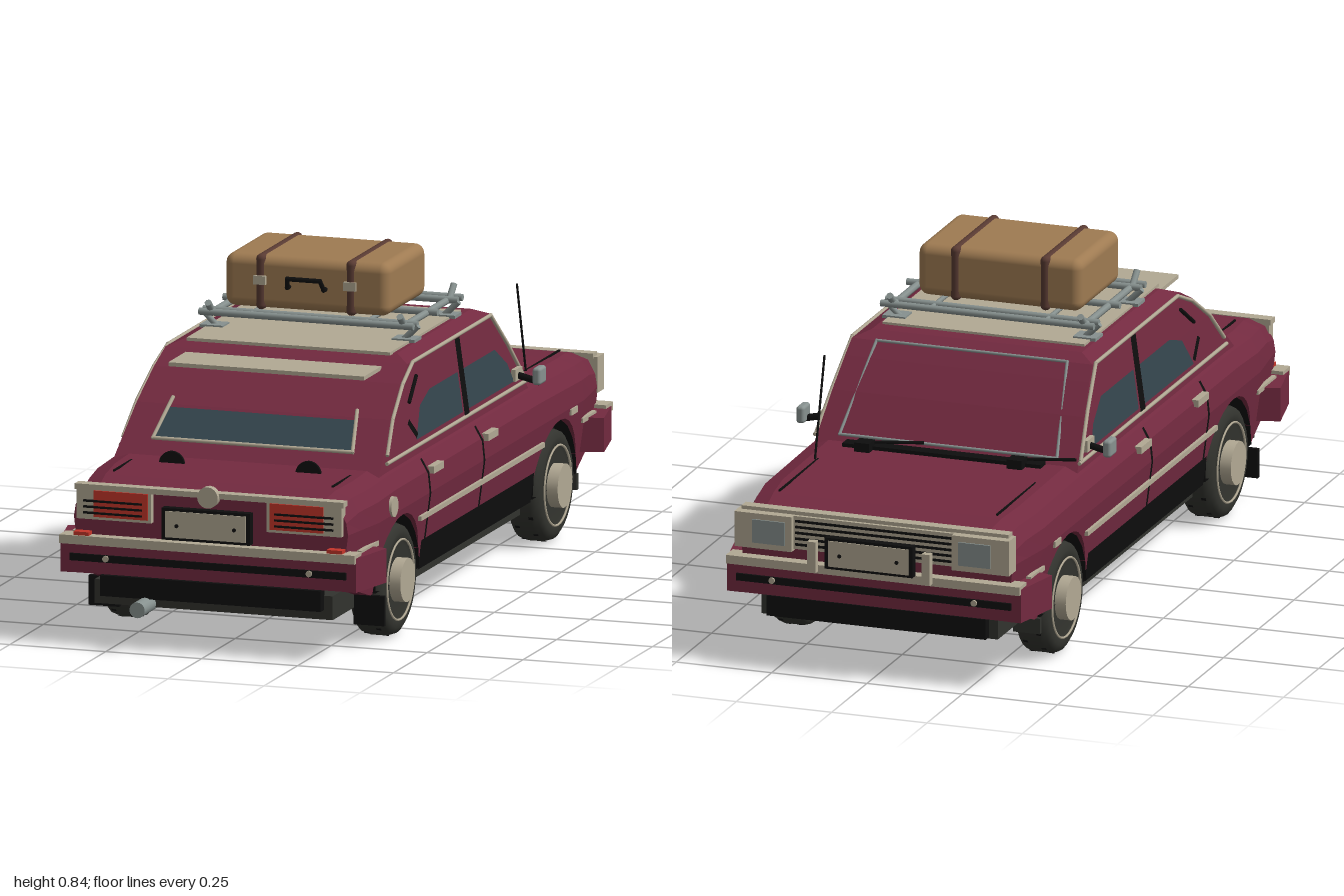
import * as THREE from 'three';
import { RoundedBoxGeometry } from 'three/addons/geometries/RoundedBoxGeometry.js';

const mat = (name, color, side = THREE.FrontSide) => {
  const m = new THREE.MeshStandardMaterial({ color, side });
  m.name = name;
  return m;
};
const V = (p) => new THREE.Vector3(...p);

// Linear lookup in a table of [key, value]
function lookup(t, k) {
  if (k <= t[0][0]) return t[0][1];
  for (let i = 1; i < t.length; i++) {
    const [a, b] = [t[i - 1], t[i]];
    if (k <= b[0]) return a[1] + (b[1] - a[1]) * (k - a[0]) / (b[0] - a[0]);
  }
  return t[t.length - 1][1];
}
const SIDE = [[0.13, 0.355], [0.32, 0.38], [0.37, 0.375], [0.405, 0.355], [0.42, 0.31]];
const taper = (z) => 1 - 0.06 * Math.max(0, (Math.abs(z) - 0.76) / 0.17);
const bodyX = (y, z) => lookup(SIDE, y) * taper(z);
const cabinX = (y) => 0.345 - 0.14 * (y - 0.42);

function flat(pos) {
  const g = new THREE.BufferGeometry();
  g.setAttribute('position', new THREE.Float32BufferAttribute(pos, 3));
  g.computeVertexNormals();
  return g;
}
// Closed loft through rings with equal point counts
function loft(rings) {
  const out = [], n = rings[0].length, tri = (...p) => p.forEach((q) => out.push(...q));
  for (let i = 0; i < rings.length - 1; i++) for (let j = 0; j < n; j++) {
    const k = (j + 1) % n, [r, s] = [rings[i], rings[i + 1]];
    tri(r[j], r[k], s[k]);
    tri(r[j], s[k], s[j]);
  }
  const a = rings[0], b = rings[rings.length - 1];
  for (let j = 1; j < n - 1; j++) { tri(a[0], a[j + 1], a[j]); tri(b[0], b[j], b[j + 1]); }
  return flat(out);
}
function panel(pts) {
  const out = [];
  for (let j = 1; j < pts.length - 1; j++) out.push(...pts[0], ...pts[j], ...pts[j + 1]);
  return flat(out);
}

export function createModel() {
  const car = new THREE.Group();
  car.name = 'car';
  const DS = THREE.DoubleSide;
  const paint = mat('maroonPaint', 0x732a40), cream = mat('creamTrim', 0xb2a994), black = mat('black', 0x0e0e0e, DS);
  const dark = mat('darkRubber', 0x32332e), glass = mat('glass', 0x34454d, DS), red = mat('redLens', 0xc4352a);
  const steel = mat('steel', 0x87918f), leather = mat('leather', 0x9f7b52), strapM = mat('strapBrown', 0x583a32);

  const add = (name, g, m, p = [0, 0, 0], parent = car) => {
    const o = new THREE.Mesh(g, m);
    o.name = name;
    o.position.set(...p);
    parent.add(o);
    return o;
  };
  const box = (name, m, sx, sy, sz, x, y, z, parent) => add(name, new THREE.BoxGeometry(sx, sy, sz), m, [x, y, z], parent);
  const disc = (name, m, r, h, p, axis, parent, n = 16) => {
    const g = new THREE.CylinderGeometry(r, r, h, n);
    if (axis === 'x') g.rotateZ(Math.PI / 2); else g.rotateX(Math.PI / 2);
    return add(name, g, m, p, parent);
  };
  const rods = (name, m, r, pts, parent = car) => {
    for (let i = 0; i < pts.length - 1; i++) {
      const a = V(pts[i]), d = V(pts[i + 1]).sub(a);
      const o = add(name, new THREE.CylinderGeometry(r, r, d.length() + r, 8), m, a.addScaledVector(d, 0.5).toArray(), parent);
      o.quaternion.setFromUnitVectors(new THREE.Vector3(0, 1, 0), d.normalize());
    }
  };

  // Lower body with wheel arches
  const arch = (zc) => Array.from({ length: 15 }, (_, i) => {
    const a = Math.PI * (1 - i / 14);
    return [zc + 0.165 * Math.cos(a), 0.135 + 0.17 * Math.sin(a)];
  });
  const prof = [[-0.93, 0.32], [-0.93, 0.19], [-0.77, 0.135], ...arch(-0.59), ...arch(0.58), [0.76, 0.135], [0.93, 0.19], [0.93, 0.32], [0.76, 0.32], [-0.76, 0.32]];
  const lower = new THREE.ExtrudeGeometry(new THREE.Shape(prof.map((p) => new THREE.Vector2(...p))), { depth: 2, bevelEnabled: false });
  lower.translate(0, 0, -1).rotateY(-Math.PI / 2);
  const lp = lower.attributes.position;
  for (let i = 0; i < lp.count; i++) lp.setX(i, Math.sign(lp.getX(i)) * bodyX(lp.getY(i), lp.getZ(i)));
  lower.computeVertexNormals();
  add('lowerBody', lower, paint);

  // Upper body with hood and trunk
  const sections = [[-0.93, -0.02], [-0.85, -0.005], [-0.76, 0], [-0.45, 0.005], [0.62, 0.005], [0.76, 0], [0.86, -0.005], [0.93, -0.02]];
  add('upperBody', loft(sections.map(([z, dy]) => {
    const half = SIDE.slice(1).map(([y, x], i) => [x * taper(z), y + (i > 0 ? dy : 0), z]);
    return [...half, ...half.map(([x, y]) => [-x, y, z]).reverse()];
  })), paint);
  // Cabin
  const levels = [[0.41, 0.346, 0.67, -0.445], [0.53, 0.33, 0.54, -0.352], [0.6, 0.32, 0.44, -0.29], [0.635, 0.315, 0.37, -0.255], [0.652, 0.275, 0.33, -0.22]];
  add('cabin', loft(levels.map(([y, x, r, f]) => [[x, y, r], [x, y, f], [-x, y, f], [-x, y, r]])), paint);
  box('roofPanel', cream, 0.53, 0.008, 0.53, 0, 0.654, 0.09);
  box('rearVisor', cream, 0.51, 0.01, 0.13, 0, 0.625, 0.455);

  // Rear window and its trim
  const rearZ = (y) => 0.67 - (y - 0.41) * 0.13 / 0.12 + 0.004;
  add('rearWindow', panel([[-0.258, 0.46, rearZ(0.46)], [0.258, 0.46, rearZ(0.46)], [0.243, 0.525, rearZ(0.525)], [-0.243, 0.525, rearZ(0.525)]]), glass);
  rods('rearWindowTrim', cream, 0.005, [[-0.24, 0.545, rearZ(0.545)], [-0.26, 0.46, rearZ(0.46)], [0.26, 0.46, rearZ(0.46)], [0.24, 0.545, rearZ(0.545)]]);
  rods('windshieldTrim', steel, 0.004, [[-0.285, 0.44, -0.424], [0.285, 0.44, -0.424], [0.25, 0.636, -0.256], [-0.25, 0.636, -0.256], [-0.285, 0.44, -0.424]]);
  // Cowl, wipers and washer humps
  box('cowl', black, 0.52, 0.012, 0.035, 0, 0.428, -0.455);
  for (const x of [-0.2, 0.2]) {
    box('wiperPivot', black, 0.04, 0.025, 0.04, x, 0.435, -0.478);
    rods('wiper', black, 0.004, [[x, 0.44, -0.46], [x - 0.14, 0.447, -0.44]]);
  }

  for (const s of [-1, 1]) {
    const onCabin = (pts, o = 0.004) => pts.map(([z, y]) => [s * (cabinX(y) + o), y, z]);
    const onBody = (z0, z1, ys) => ys.slice(1).map((y, i) => [[z0, ys[i]], [z1, ys[i]], [z1, y], [z0, y]].map(([z, h]) => [s * (bodyX(h, z) + 0.003), h, z]));
    // Side windows, pillar and trim
    add('rearSideWindow', panel(onCabin([[0.385, 0.45], [0.04, 0.45], [0.04, 0.55], [0.25, 0.55], [0.33, 0.525]])), glass);
    add('frontSideWindow', panel(onCabin([[-0.005, 0.45], [-0.34, 0.45], [-0.31, 0.5], [-0.235, 0.55], [-0.005, 0.55]])), glass);
    add('centrePillar', panel(onCabin([[0.035, 0.44], [0, 0.44], [0, 0.63], [0.035, 0.63]], 0.006)), black);
    rods('dripRail', cream, 0.005, onCabin([[0.6, 0.455], [0.53, 0.53], [0.43, 0.597], [0.34, 0.635], [-0.24, 0.635], [-0.335, 0.54], [-0.42, 0.44]]));
    rods('beltTrim', cream, 0.005, onCabin([[0.61, 0.435], [-0.43, 0.435]]));
    add('pillarVent', panel(onCabin([[0.44, 0.5], [0.39, 0.455], [0.375, 0.465], [0.425, 0.51]], 0.007)), black);
    rods('grabRail', black, 0.005, onCabin([[0.41, 0.55], [0.34, 0.6]], 0.008));
    // Door seams, handles, side trim and sills
    for (const z of [0.39, -0.012]) for (const q of onBody(z + 0.006, z - 0.006, [0.2, 0.32, 0.37, 0.405])) add('doorSeam', panel(q), black);
    for (const z of [0.34, -0.065]) box('doorHandle', cream, 0.02, 0.018, 0.075, s * 0.378, 0.375, z);
    box('sideTrim', cream, 0.012, 0.012, 0.92, s * 0.376, 0.268, -0.005);
    box('rearSideTrim', cream, 0.012, 0.012, 0.13, s * 0.371, 0.268, 0.82);
    box('frontSideTrim', cream, 0.012, 0.012, 0.1, s * 0.372, 0.268, -0.81);
    box('sideMarker', cream, 0.012, 0.016, 0.045, s * 0.378, 0.31, -0.68);
    add('sill', panel([[0.415, 0.13], [-0.425, 0.13], [-0.425, 0.205], [0.415, 0.205]].map(([z, y]) => [s * (bodyX(y, z) + 0.003), y, z])), black);
    // Mirror
    rods('mirrorArm', black, 0.009, [[s * 0.335, 0.465, -0.36], [s * 0.4, 0.45, -0.36]]);
    add('mirror', new RoundedBoxGeometry(0.022, 0.044, 0.05, 2, 0.008), steel, [s * 0.402, 0.465, -0.365]);
    box('mirrorBase', cream, 0.012, 0.03, 0.05, s * 0.345, 0.465, -0.36);
    // Trunk hinge covers and panel seams
    const hump = new THREE.CylinderGeometry(0.033, 0.033, 0.008, 16, 1, false, Math.PI / 2, Math.PI).rotateX(Math.PI / 2);
    add('trunkHinge', hump, black, [s * 0.178, 0.418, 0.712]).scale.y = hump.boundingBox?.max.y < 0 ? -1 : 1;
    box('hoodSeam', black, 0.005, 0.004, 0.4, s * 0.285, 0.421, -0.65);
    box('trunkSeam', black, 0.005, 0.004, 0.16, s * 0.285, 0.42, 0.76);

    // Wheels
    for (const z of [0.58, -0.59]) {
      const wheel = new THREE.Group();
      wheel.name = 'wheel';
      wheel.position.set(s * 0.325, 0.14, z);
      wheel.rotation.y = s > 0 ? 0 : Math.PI;
      car.add(wheel);
      const tyre = [[0.001, -0.045], [0.12, -0.045], [0.135, -0.036], [0.14, -0.02], [0.14, 0.02], [0.135, 0.036], [0.12, 0.045], [0.1, 0.045], [0.095, 0.036], [0.001, 0.036]];
      add('tyre', new THREE.LatheGeometry(tyre.map((p) => new THREE.Vector2(...p)), 28).rotateZ(-Math.PI / 2), dark, [0, 0, 0], wheel);
      add('rimRing', new THREE.TorusGeometry(0.1, 0.003, 6, 32).rotateY(Math.PI / 2), cream, [0.046, 0, 0], wheel);
      disc('hubCap', cream, 0.055, 0.03, [0.05, 0, 0], 'x', wheel, 20);
      for (let i = 0; i < 28; i++) {
        const t = box('tread', black, 0.012, 0.002, 0.008, (i % 2 ? 0.02 : -0.02), 0, 0, wheel), a = i * Math.PI / 14;
        t.position.set(t.position.x, 0.1395 * Math.cos(a), 0.1395 * Math.sin(a));
        t.rotation.x = a;
      }
      const liner = new THREE.CylinderGeometry(0.164, 0.164, 0.09, 20, 1, true).rotateZ(Math.PI / 2);
      const lin = liner.attributes.position;
      for (let i = 0; i < lin.count; i++) lin.setY(i, Math.max(lin.getY(i), 0));
      add('archLiner', liner, black, [s * 0.318, 0.137, z]);
    }
    box('rearMudFlap', black, 0.08, 0.075, 0.012, s * 0.345, 0.093, 0.735);
    box('frontMudFlap', dark, 0.07, 0.04, 0.012, s * 0.33, 0.115, -0.755);

    // Tail lights
    box('tailLightFrame', cream, 0.195, 0.085, 0.03, s * 0.248, 0.36, 0.93);
    box('tailLens', red, 0.14, 0.066, 0.006, s * 0.229, 0.358, 0.947);
    for (const y of [0.335, 0.35, 0.365]) box('tailSlat', black, 0.153, 0.005, 0.006, s * 0.249, y, 0.951);
    box('rearReflector', red, 0.04, 0.012, 0.03, s * 0.33, 0.28, 0.94);
    // Headlights and front guards
    box('headlight', cream, 0.15, 0.09, 0.05, s * 0.285, 0.35, -0.942);
    box('headlightLens', steel, 0.085, 0.06, 0.006, s * 0.27, 0.35, -0.968);
    box('bumperGuard', cream, 0.022, 0.08, 0.02, s * 0.15, 0.305, -0.98);
  }
  for (const z of [0.58, -0.59]) box('wheelWell', black, 0.54, 0.16, 0.3, 0, 0.2, z);

  // Rear panel, plate and badge
  box('rearTopTrim', cream, 0.7, 0.014, 0.03, 0, 0.398, 0.93);
  disc('rearBadge', cream, 0.027, 0.02, [0, 0.395, 0.947], 'z');
  disc('fuelCap', cream, 0.026, 0.012, [0.379, 0.34, 0.66], 'x');
  // Grille
  box('grille', cream, 0.44, 0.085, 0.03, 0, 0.352, -0.937);
  for (let i = 0; i < 5; i++) box('grilleSlot', black, 0.41, 0.006, 0.006, 0, 0.322 + i * 0.015, -0.952);
  box('grilleTopTrim', cream, 0.7, 0.012, 0.03, 0, 0.398, -0.928);

  // Bumpers and number plates
  for (const s of [1, -1]) {
    const b = new THREE.Group();
    b.name = s > 0 ? 'rearBumper' : 'frontBumper';
    b.rotation.y = s > 0 ? 0 : Math.PI;
    car.add(b);
    box('bumperBar', paint, 0.77, 0.085, 0.07, 0, 0.225, 0.915, b);
    for (const e of [-1, 1]) {
      const plan = [[0.385, 0.95], [0.415, 0.81], [0.35, 0.79], [0.35, 0.95]].map(([x, z]) => [e * x, z]);
      if (e < 0) plan.reverse();
      add('bumperCorner', loft([0.182, 0.268].map((y) => plan.map(([x, z]) => [x, y, z]))), paint, [0, 0, 0], b);
      disc('bumperBolt', cream, 0.008, 0.01, [e * 0.265, 0.223, 0.956], 'z', b, 10);
    }
    box('bumperTrim', cream, 0.77, 0.022, 0.05, 0, 0.266, 0.935, b);
    box('bumperStrip', black, 0.72, 0.018, 0.006, 0, 0.222, 0.953, b);
    box('valance', black, 0.575, 0.052, 0.03, 0, 0.15, 0.92, b);
    const pz = s > 0 ? 0.958 : 0.978, py = s > 0 ? 0.325 : 0.32;
    box('plateFrame', black, 0.23, 0.08, 0.022, 0, py, pz, b);
    box('plate', cream, 0.21, 0.066, 0.006, 0, py, pz + 0.011, b);
    for (const x of [-0.075, 0.075]) disc('plateBolt', black, 0.005, 0.006, [x, py - 0.003, pz + 0.014], 'z', b, 8);
  }

  // Underside and exhaust
  box('floor', dark, 0.55, 0.06, 1.5, 0, 0.125, 0);
  box('floorCentre', dark, 0.66, 0.045, 0.84, 0, 0.118, -0.005);
  box('rearFloor', dark, 0.62, 0.06, 0.16, 0, 0.13, 0.83);
  box('frontFloor', dark, 0.62, 0.06, 0.14, 0, 0.15, -0.84);
  for (const x of [-0.06, 0.1]) box('floorRib', dark, 0.02, 0.012, 0.6, x, 0.092, -0.1);
  box('muffler', dark, 0.24, 0.045, 0.14, -0.155, 0.08, 0.42);
  rods('exhaustPipe', dark, 0.016, [[-0.16, 0.09, 0.48], [-0.17, 0.108, 0.9]]);
  disc('exhaustTip', steel, 0.02, 0.1, [-0.17, 0.108, 0.945], 'z');

  // Aerial
  rods('aerial', black, 0.003, [[0.29, 0.42, -0.585], [0.3, 0.66, -0.49]]);

  // Roof rack
  for (const s of [-1, 1]) {
    rods('rackRail', steel, 0.009, [[s * 0.25, 0.72, 0.235], [s * 0.25, 0.693, 0.205], [s * 0.25, 0.693, -0.13], [s * 0.25, 0.72, -0.16]]);
    rods('rackInnerRail', steel, 0.006, [[s * 0.15, 0.696, 0.21], [s * 0.15, 0.696, -0.14]]);
    for (const z of [0.19, -0.11]) {
      rods('rackLeg', steel, 0.008, [[s * 0.278, 0.69, z], [s * 0.245, 0.658, z]]);
      box('rackFoot', steel, 0.06, 0.008, 0.05, s * 0.25, 0.658, z);
    }
  }
  for (const z of [0.22, 0.19, 0.04, -0.11, -0.145]) rods('rackBar', steel, 0.009, [[-0.275, 0.696, z], [0.275, 0.696, z]]);

  // Suitcase with straps and handle
  add('suitcase', new RoundedBoxGeometry(0.43, 0.133, 0.285, 4, 0.025), leather, [-0.01, 0.774, 0.05]);
  for (const x of [-0.13, 0.105]) {
    add('suitcaseStrap', new RoundedBoxGeometry(0.025, 0.139, 0.293, 3, 0.012), strapM, [x, 0.774, 0.05]);
    box('strapBuckle', cream, 0.032, 0.022, 0.01, x, 0.78, 0.196);
  }
  rods('suitcaseHandle', black, 0.006, [[-0.055, 0.768, 0.19], [-0.055, 0.768, 0.205], [-0.05, 0.793, 0.22], [0.035, 0.793, 0.22], [0.04, 0.768, 0.205], [0.04, 0.768, 0.19]]);
  return car;
}
